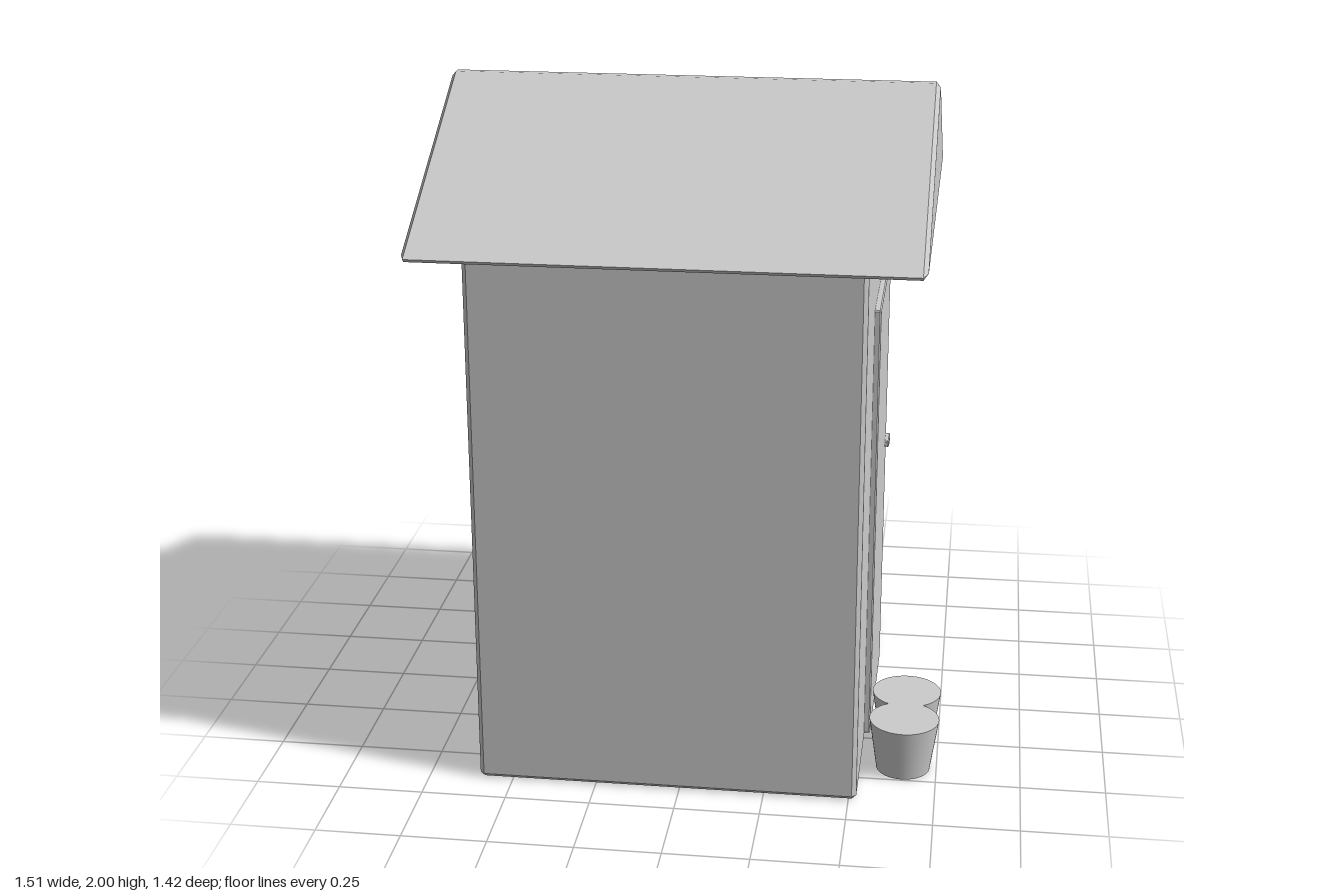
import * as THREE from 'three';
import { ConvexGeometry } from 'three/addons/geometries/ConvexGeometry.js';

const material = new THREE.MeshStandardMaterial({ color: 0xcccccc });

// Box between two corners with all edges chamfered by c
function chamferBox([x0, y0, z0], [x1, y1, z1], c) {
  const half = [(x1 - x0) / 2, (y1 - y0) / 2, (z1 - z0) / 2];
  const points = [];
  for (const sx of [-1, 1]) for (const sy of [-1, 1]) for (const sz of [-1, 1]) {
    for (let axis = 0; axis < 3; axis++) {
      const h = half.map((v, i) => (i === axis ? v : v - c));
      points.push(new THREE.Vector3(sx * h[0], sy * h[1], sz * h[2]));
    }
  }
  return new ConvexGeometry(points).translate((x0 + x1) / 2, (y0 + y1) / 2, (z0 + z1) / 2);
}

// Gable prism along x with a flattened ridge, blunt eaves and bevelled ends
function gableRoof() {
  const points = [];
  const add = (x, y, z) => points.push(new THREE.Vector3(x, y, z), new THREE.Vector3(x, y, -z));
  for (const x of [-0.745, 0.67]) {
    add(x, 1.61, 0.7);
    add(x, 1.62, 0.71);
    add(x, 2, 0.012);
  }
  for (const x of [-0.758, 0.683]) {
    add(x, 1.622, 0.67);
    add(x, 1.985, 0.004);
  }
  return new ConvexGeometry(points);
}

export function createModel() {
  const group = new THREE.Group();
  const add = (name, geometry) => {
    const mesh = new THREE.Mesh(geometry, material);
    mesh.name = name;
    group.add(mesh);
    return mesh;
  };

  // Shed body and roof
  add('walls', chamferBox([-0.6, 0, -0.64], [0.523, 1.612, 0.64], 0.013));
  add('roof', gableRoof());

  // Door on the +x wall, with its handle
  add('door', chamferBox([0.5, 0.03, -0.275], [0.542, 1.39, 0.275], 0.004));
  add('doorHandle', chamferBox([0.535, 0.798, -0.262], [0.556, 0.818, -0.186], 0.003));

  // Two tapered pots beside the door
  [0.415, 0.235].forEach((z, i) => {
    const pot = add('pot' + (i + 1), new THREE.CylinderGeometry(0.104, 0.08, 0.162, 48));
    pot.position.set(0.65, 0.081, z);
  });

  return group;
}
